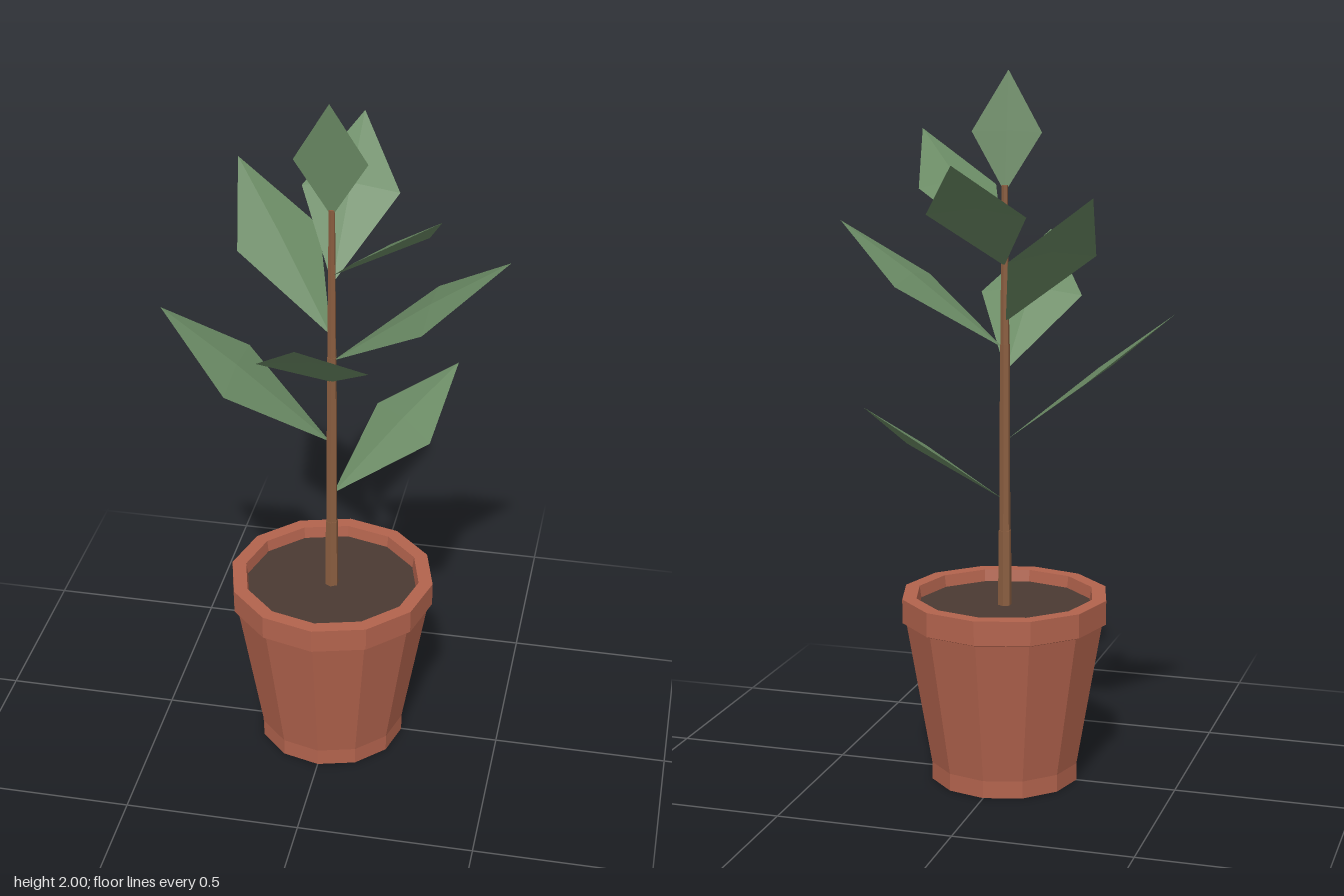
import * as THREE from 'three';

const mat = (name, color, side = THREE.FrontSide) => {
  const m = new THREE.MeshStandardMaterial({ color, side, flatShading: true });
  m.name = name;
  return m;
};

// Diamond leaf with a slightly raised midrib, growing along +x from (r0, y0) to (r1, y1)
function leafGeometry(r0, y0, r1, y1, mid, half, bulge) {
  const mx = r0 + (r1 - r0) * mid;
  const my = y0 + (y1 - y0) * mid;
  const g = new THREE.BufferGeometry();
  g.setAttribute('position', new THREE.Float32BufferAttribute([
    r0, y0, 0,
    mx, my - bulge, half,
    r1, y1, 0,
    mx, my - bulge, -half,
    mx, my + bulge, 0,
  ], 3));
  g.setIndex([0, 1, 4, 1, 2, 4, 2, 3, 4, 3, 0, 4]);
  const flat = g.toNonIndexed();
  flat.computeVertexNormals();
  return flat;
}

export function createModel() {
  const model = new THREE.Group();
  model.name = 'pottedPlant';

  const terracotta = mat('terracotta', 0xb2634d);
  const earth = mat('earth', 0x4b3a32);
  const bark = mat('bark', 0x8b5e40);
  const green = mat('leafGreen', 0x6a8a64, THREE.DoubleSide);

  const add = (name, geometry, material, y = 0) => {
    const mesh = new THREE.Mesh(geometry, material);
    mesh.name = name;
    mesh.position.y = y;
    model.add(mesh);
    return mesh;
  };

  // Twelve-sided pot with a straight foot, tapered wall and stepped rim
  const profile = [
    [0, 0], [0.213, 0], [0.213, 0.05], [0.284, 0.463], [0.296, 0.468],
    [0.296, 0.537], [0.255, 0.537], [0.248, 0.49],
  ].map(([x, y]) => new THREE.Vector2(x, y));
  add('pot', new THREE.LatheGeometry(profile, 12), terracotta);

  // Soil disc inside the rim
  add('soil', new THREE.CircleGeometry(0.252, 12).rotateX(-Math.PI / 2), earth, 0.503);

  // Stem in tapering sections: bottom y, top y, bottom radius, top radius
  [
    [0.49, 0.72, 0.02, 0.018],
    [0.72, 1.25, 0.016, 0.014],
    [1.25, 1.69, 0.013, 0.009],
  ].forEach(([y0, y1, rb, rt], i) =>
    add(`stemSection${i + 1}`, new THREE.CylinderGeometry(rt, rb, y1 - y0, 6), bark, (y0 + y1) / 2));

  // Side leaves: heading (degrees from +x toward -z), base y, tip y, reach, half width
  [
    [43, 0.81, 1.11, 0.427, 0.135],
    [180, 0.98, 1.355, 0.48, 0.155],
    [270, 1.175, 1.52, 0.48, 0.15],
    [0, 1.24, 1.58, 0.48, 0.15],
    [137.3, 1.315, 1.69, 0.442, 0.138],
    [90, 1.47, 1.78, 0.48, 0.138],
    [-41.7, 1.5, 1.82, 0.451, 0.127],
  ].forEach(([deg, y0, y1, reach, half], i) => {
    const leaf = add(`leaf${i + 1}`, leafGeometry(0.005, y0, reach, y1, 0.555, half, 0.01), green);
    leaf.rotation.y = THREE.MathUtils.degToRad(deg);
  });

  // Upright leaf at the tip of the stem, leaning slightly forward
  const topLeaf = add('topLeaf', leafGeometry(0, 1.67, 0.035, 2, 0.5, 0.1, 0.002), green);
  topLeaf.rotation.y = -Math.PI / 2;

  return model;
}
